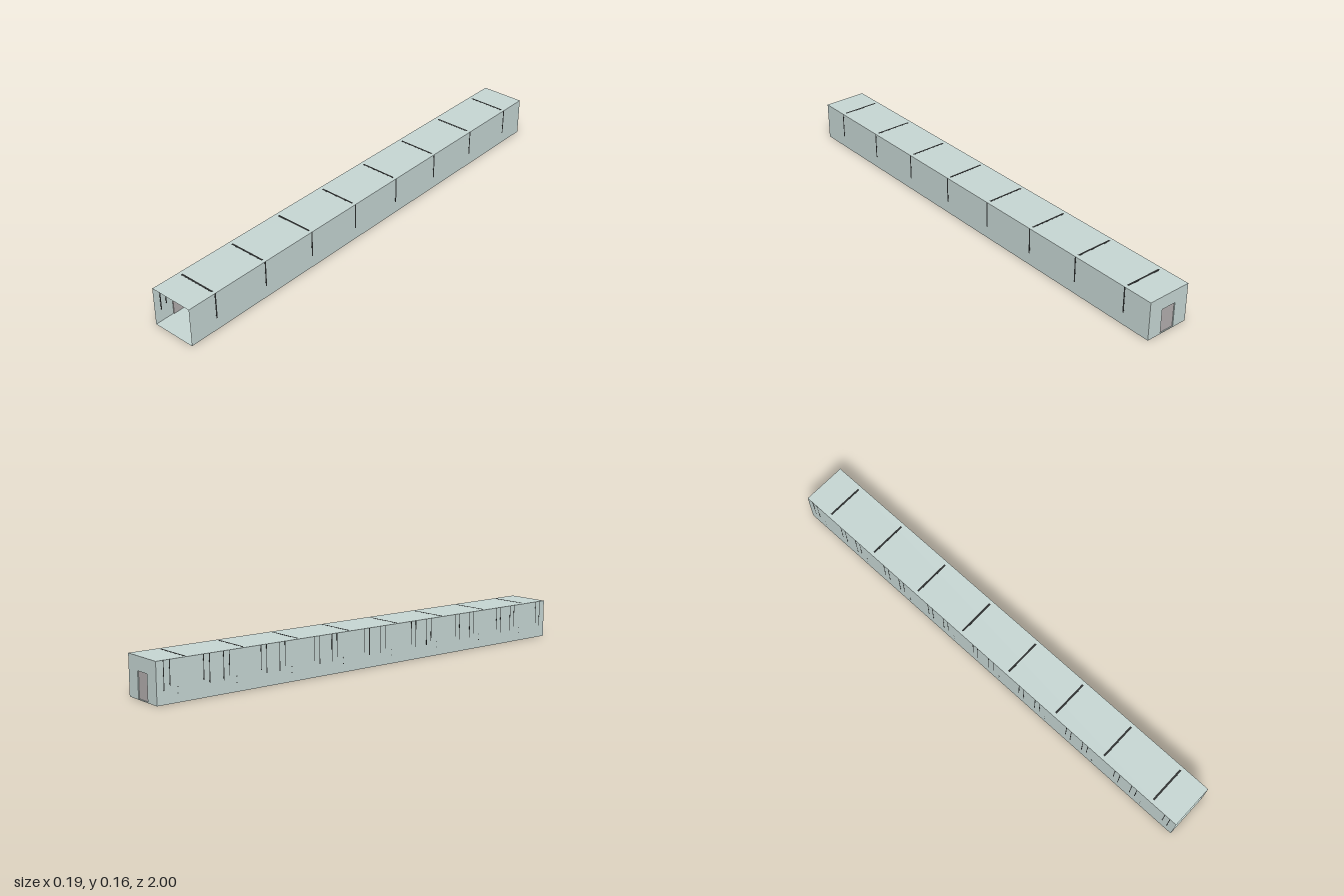
import * as THREE from 'three';

const W = 0.094, H = 0.16, BACK = -0.985;
const BAYS = Array.from({ length: 8 }, (_, i) => -0.875 + i * 0.25);

export function createModel() {
  const group = new THREE.Group();
  const wallMat = new THREE.MeshStandardMaterial({ color: 0xc6d6d3, side: THREE.DoubleSide });
  const doorMat = new THREE.MeshStandardMaterial({ color: 0xb2adad });
  const stripMat = new THREE.MeshStandardMaterial({ color: 0x2a2c2c });

  // Box given by its minimum and maximum corners
  const box = (name, mat, a, b) => {
    const m = new THREE.Mesh(new THREE.BoxGeometry(b[0] - a[0], b[1] - a[1], b[2] - a[2]), mat);
    m.position.set((a[0] + b[0]) / 2, (a[1] + b[1]) / 2, (a[2] + b[2]) / 2);
    m.name = name;
    group.add(m);
  };

  // Thin panel of the corridor shell
  const length = 1 - BACK, mid = (1 + BACK) / 2;
  const panel = (name, width, x, y, rx, ry) => {
    const g = rx ? new THREE.PlaneGeometry(width, length) : new THREE.PlaneGeometry(length, width);
    const m = new THREE.Mesh(g, wallMat);
    m.rotation.set(rx, ry, 0);
    m.position.set(x, y, mid);
    m.name = name;
    group.add(m);
  };
  panel('floor', 2 * W, 0, 0, Math.PI / 2, 0);
  panel('ceiling', 2 * W, 0, H, -Math.PI / 2, 0);
  panel('leftWall', H, W, H / 2, 0, Math.PI / 2);
  panel('rightWall', H, -W, H / 2, 0, -Math.PI / 2);

  // End wall with its doorway
  const shape = new THREE.Shape();
  shape.moveTo(-W, 0).lineTo(W, 0).lineTo(W, H).lineTo(-W, H).closePath();
  const hole = new THREE.Path();
  hole.moveTo(-0.032, 0.003).lineTo(-0.032, 0.105).lineTo(0.032, 0.105).lineTo(0.032, 0.003).closePath();
  shape.holes.push(hole);
  const end = new THREE.Mesh(
    new THREE.ExtrudeGeometry(shape, { depth: BACK + 1, bevelEnabled: false }), wallMat);
  end.position.z = -1;
  end.name = 'endWall';
  group.add(end);
  box('endDoor', doorMat, [-0.032, 0.003, -0.996], [0.032, 0.105, BACK - 0.002]);

  // Strips beside the end door
  for (const s of [-1, 1]) {
    for (const [x, y, w] of [[0.05, 0.054, 0.001], [0.079, 0.028, 0.0015]]) {
      box('endStrip', stripMat, [s * x - w, y, BACK], [s * x + w, H - 0.001, BACK + 0.002]);
    }
  }

  for (const z of BAYS) {
    // Ceiling strip and left wall strip
    box('ceilingStrip', stripMat, [-0.079, H - 0.002, z - 0.004], [0.079, H + 0.0003, z + 0.004]);
    box('leftWallStrip', stripMat, [W - 0.002, 0.05, z - 0.003], [W + 0.0003, H - 0.001, z + 0.003]);

    // Side door with hinges, set against the inside of the right wall
    box('sideDoor', doorMat, [-W + 0.0005, 0.001, z - 0.042], [-W + 0.004, 0.125, z + 0.042]);
    for (const y of [0.035, 0.058]) {
      box('doorHinge', stripMat, [-W - 0.0003, y - 0.002, z - 0.041], [-W + 0.007, y + 0.002, z - 0.037]);
    }

    // Strips beside the side door
    for (const s of [-1, 1]) {
      for (const [d, y] of [[0.07, 0.065], [0.095, 0.05]]) {
        box('rightWallStrip', stripMat,
          [-W - 0.0003, y, z + s * d - 0.0015], [-W + 0.002, H - 0.001, z + s * d + 0.0015]);
      }
    }
  }
  return group;
}
